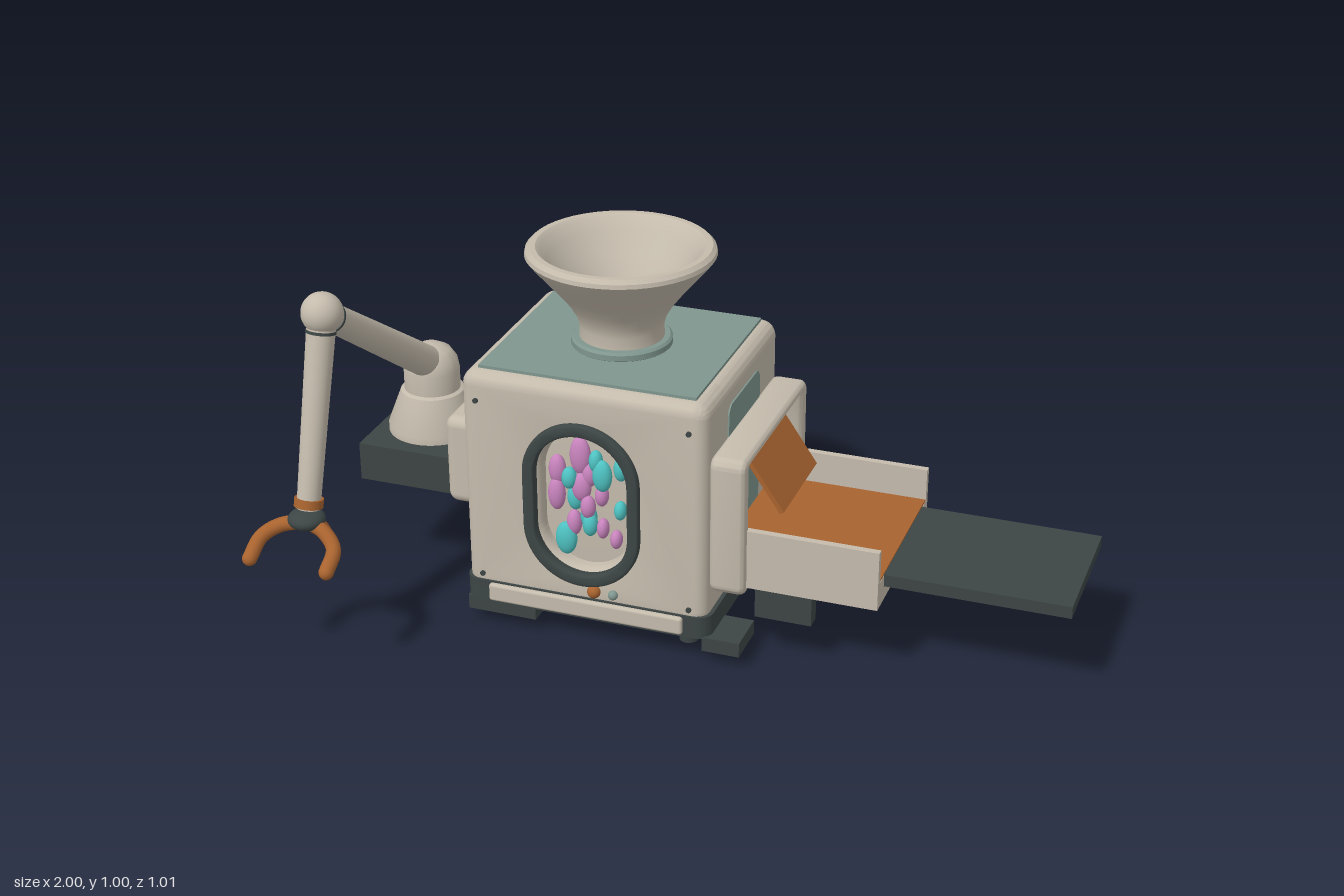
import * as THREE from 'three';
import { toCreasedNormals } from 'three/addons/utils/BufferGeometryUtils.js';
import { RoundedBoxGeometry } from 'three/addons/geometries/RoundedBoxGeometry.js';

const paint = (name, color) => {
  const m = new THREE.MeshStandardMaterial({ color });
  m.name = name;
  return m;
};

// Rounded rectangle between two corners
function roundRect(x0, y0, x1, y1, r, Type = THREE.Shape) {
  const s = new Type();
  s.moveTo(x0 + r, y0);
  s.lineTo(x1 - r, y0);
  s.absarc(x1 - r, y0 + r, r, -Math.PI / 2, 0);
  s.lineTo(x1, y1 - r);
  s.absarc(x1 - r, y1 - r, r, 0, Math.PI / 2);
  s.lineTo(x0 + r, y1);
  s.absarc(x0 + r, y1 - r, r, Math.PI / 2, Math.PI);
  s.lineTo(x0, y0 + r);
  s.absarc(x0 + r, y0 + r, r, Math.PI, Math.PI * 1.5);
  return s;
}

// Extrusion filling z0..z1, with bevels kept inside the outline
function slab(shape, z0, z1, bevel = 0) {
  const g = new THREE.ExtrudeGeometry(shape, {
    depth: z1 - z0 - 2 * bevel, bevelEnabled: bevel > 0, bevelSize: bevel,
    bevelThickness: bevel, bevelOffset: -bevel, bevelSegments: 5, curveSegments: 10,
  });
  g.translate(0, 0, z0 + bevel);
  return toCreasedNormals(g, 0.6);
}

export function createModel() {
  const root = new THREE.Group();
  root.name = 'sortingMachine';
  const shell = paint('warm grey shell', 0xc4bbac);
  const teal = paint('muted teal', 0x7f968e);
  const dark = paint('dark slate', 0x3d4545);
  const copper = paint('copper', 0xa8632f);
  const pink = paint('pink', 0xc884bd);
  const cyan = paint('cyan', 0x4fc2c2);

  const add = (name, geo, mat, pos = [0, 0, 0]) => {
    const m = new THREE.Mesh(geo, mat);
    m.name = name;
    m.position.set(...pos);
    root.add(m);
    return m;
  };
  const box = (name, mat, x0, x1, y0, y1, z0, z1) =>
    add(name, new THREE.BoxGeometry(x1 - x0, y1 - y0, z1 - z0), mat, [(x0 + x1) / 2, (y0 + y1) / 2, (z0 + z1) / 2]);
  const roundBox = (name, mat, x0, x1, y0, y1, z0, z1, r) =>
    add(name, new RoundedBoxGeometry(x1 - x0, y1 - y0, z1 - z0, 4, r), mat, [(x0 + x1) / 2, (y0 + y1) / 2, (z0 + z1) / 2]);
  const rod = (name, mat, a, b, ra, rb) => {
    const A = new THREE.Vector3(...a), B = new THREE.Vector3(...b), d = B.clone().sub(A);
    const m = add(name, new THREE.CylinderGeometry(rb, ra, d.length(), 28), mat);
    m.position.copy(A).add(B).multiplyScalar(0.5);
    m.quaternion.setFromUnitVectors(new THREE.Vector3(0, 1, 0), d.normalize());
    return m;
  };
  const lathe = (name, mat, pts, pos) =>
    add(name, toCreasedNormals(new THREE.LatheGeometry(pts.map((p) => new THREE.Vector2(...p)), 48), 0.5), mat, pos);

  // Cabinet: solid rear part and a front part with the window recess
  const outline = () => roundRect(-0.57, 0.1, 0.09, 0.725, 0.04);
  add('cabinetRear', slab(outline(), -0.5, 0.035, 0.035), shell);
  const front = outline();
  front.holes.push(roundRect(-0.36, 0.21, -0.125, 0.59, 0.117, THREE.Path));
  add('cabinetFront', slab(front, -0.1, 0.085, 0.035), shell);
  box('topPanel', teal, -0.53, 0.052, 0.715, 0.733, -0.465, 0.05);

  // Base, feet and foot pads
  const base = slab(roundRect(-0.577, -0.09, 0.1, 0.505, 0.04), 0.07, 0.132);
  base.rotateX(-Math.PI / 2);
  add('base', base, dark);
  roundBox('baseFrontPlate', shell, -0.505, 0.03, 0.078, 0.128, 0.08, 0.102, 0.008);
  for (const [z0, z1, fz] of [[-0.04, 0.085, -0.017], [-0.497, -0.375, -0.395]]) {
    box('footPad', dark, -0.57, -0.38, 0.035, 0.075, z0, z1);
    box('footPad', dark, 0.08, 0.18, 0.035, 0.075, z0, z1);
    for (const x of [-0.49, 0.01])
      add('foot', new THREE.CylinderGeometry(0.031, 0.025, 0.075, 24), dark, [x, 0.0375, fz]);
  }

  // Side panels
  for (const x of [-0.574, 0.086]) {
    const g = slab(roundRect(0.08, 0.134, 0.33, 0.655, 0.03), 0, 0.008);
    g.rotateY(Math.PI / 2);
    add('sidePanel', g, teal, [x, 0, 0]);
  }

  // Window ring and the ovoids behind it
  const ring = roundRect(-0.4, 0.17, -0.085, 0.63, 0.157);
  ring.holes.push(roundRect(-0.368, 0.203, -0.117, 0.597, 0.125, THREE.Path));
  add('windowRing', slab(ring, 0.07, 0.103, 0.008), dark);
  const pinks = [[-0.26, 0.52, 0.028, 0.053], [-0.32, 0.475, 0.023, 0.042], [-0.32, 0.41, 0.023, 0.046],
    [-0.28, 0.325, 0.02, 0.036], [-0.255, 0.435, 0.026, 0.04], [-0.235, 0.385, 0.02, 0.032],
    [-0.165, 0.295, 0.016, 0.026], [-0.2, 0.42, 0.018, 0.03], [-0.195, 0.33, 0.016, 0.028], [-0.235, 0.47, 0.02, 0.034]];
  const cyans = [[-0.3, 0.28, 0.029, 0.046], [-0.195, 0.48, 0.026, 0.044], [-0.15, 0.5, 0.019, 0.034],
    [-0.15, 0.385, 0.016, 0.026], [-0.23, 0.335, 0.02, 0.032], [-0.275, 0.4, 0.022, 0.036],
    [-0.215, 0.515, 0.018, 0.03], [-0.285, 0.46, 0.02, 0.03], [-0.24, 0.35, 0.022, 0.032]];
  [[pinks, pink, 'pinkOvoid'], [cyans, cyan, 'cyanOvoid']].forEach(([list, mat, name], k) => {
    list.forEach(([x, y, rx, ry], i) => {
      const m = add(name, new THREE.SphereGeometry(1, 20, 14), mat, [x, y, 0.045 + ((i + k) % 3) * 0.008]);
      m.scale.set(rx, ry, 0.02);
    });
  });

  // Front knobs and screws
  add('copperKnob', new THREE.SphereGeometry(0.018, 20, 14), copper, [-0.213, 0.155, 0.088]);
  add('tealKnob', new THREE.SphereGeometry(0.013, 20, 14), teal, [-0.16, 0.155, 0.09]);
  for (const x of [-0.525, 0.045]) for (const y of [0.15, 0.65]) for (const z of [-0.5, 0.085]) {
    const m = add('screw', new THREE.CylinderGeometry(0.007, 0.007, 0.012, 12), dark, [x, y, z]);
    m.rotation.x = Math.PI / 2;
  }

  // Hopper and collar
  lathe('hopperCollar', teal, [[0, 0.728], [0.125, 0.728], [0.131, 0.734], [0.131, 0.749], [0.125, 0.755], [0, 0.755]], [-0.24, 0, -0.207]);
  lathe('hopper', shell, [[0.11, 0.75], [0.109, 0.785], [0.115, 0.81], [0.135, 0.845], [0.166, 0.885], [0.205, 0.93],
    [0.235, 0.966], [0.245, 0.979], [0.243, 0.99], [0.233, 1], [0.217, 1], [0.207, 0.992], [0.187, 0.962],
    [0.15, 0.91], [0.115, 0.86], [0.092, 0.81], [0.09, 0.775], [0, 0.775]], [-0.24, 0, -0.207]);

  // Outlet frame, flap, tray and belt on the left side
  const rim = roundRect(-0.062, 0.193, 0.475, 0.578, 0.03);
  rim.holes.push(roundRect(-0.015, 0.22, 0.425, 0.548, 0.006, THREE.Path));
  const rimGeo = slab(rim, 0.088, 0.182, 0.018);
  rimGeo.rotateY(Math.PI / 2);
  add('outletFrame', rimGeo, shell);
  const flap = box('outletFlap', copper, -0.006, 0.006, -0.098, 0.098, -0.145, 0.145);
  flap.position.set(0.187, 0.47, -0.207);
  flap.rotation.z = Math.atan2(0.11, 0.16);
  box('trayFloor', shell, 0.1, 0.525, 0.215, 0.286, -0.435, 0.018);
  box('trayLiner', copper, 0.1, 0.524, 0.284, 0.292, -0.434, 0.017);
  box('trayWall', shell, 0.17, 0.525, 0.215, 0.378, 0.018, 0.037);
  box('trayWall', shell, 0.17, 0.525, 0.215, 0.378, -0.454, -0.435);
  box('belt', dark, 0.515, 1, 0.255, 0.288, -0.4, -0.02);
  box('trayBracket', dark, 0.2, 0.35, 0.125, 0.216, -0.022, 0.02);
  box('trayBracket', dark, 0.2, 0.35, 0.125, 0.216, -0.43, -0.387);

  // Arm mount and pedestal on the right side
  roundBox('armMount', shell, -0.677, -0.56, 0.272, 0.522, -0.392, 0.036 - 0.07, 0.028);
  box('armPlatform', dark, -0.935, -0.665, 0.29, 0.395, -0.37, -0.05);
  lathe('armPedestal', shell, [[0, 0.39], [0.122, 0.39], [0.122, 0.415], [0.085, 0.51], [0.075, 0.515],
    [0.075, 0.57], [0.07, 0.597], [0.053, 0.623], [0.028, 0.637], [0, 0.641]], [-0.79, 0, -0.215]);

  // Jointed arm
  const shoulder = [-0.785, 0.578, -0.215], elbow = [-0.843, 0.917, 0.264], wrist = [-0.86, 0.43, 0.379];
  const along = (a, b, t) => a.map((v, i) => v + (b[i] - v) * t);
  rod('upperArm', shell, shoulder, elbow, 0.044, 0.036);
  add('elbow', new THREE.SphereGeometry(0.053, 32, 20), shell, elbow);
  rod('forearm', shell, elbow, wrist, 0.037, 0.03);
  rod('elbowBand', dark, along(shoulder, elbow, 0.915), along(shoulder, elbow, 0.925), 0.039, 0.039);
  rod('elbowBand', dark, along(elbow, wrist, 0.085), along(elbow, wrist, 0.1), 0.038, 0.038);
  rod('wristBand', copper, along(elbow, wrist, 0.945), along(elbow, wrist, 0.99), 0.037, 0.037);
  const cuff = add('wristCuff', new THREE.SphereGeometry(0.048, 28, 16), dark, [-0.862, 0.405, 0.388]);
  cuff.scale.y = 0.55;

  // Gripper fingers
  const fingers = [
    [[-0.875, 0.395, 0.39], [-0.93, 0.383, 0.405], [-0.972, 0.355, 0.43], [-0.978, 0.32, 0.485]],
    [[-0.85, 0.395, 0.39], [-0.805, 0.383, 0.405], [-0.77, 0.355, 0.43], [-0.765, 0.32, 0.485]],
    [[-0.862, 0.395, 0.385], [-0.861, 0.37, 0.357], [-0.86, 0.35, 0.325], [-0.86, 0.316, 0.302]],
  ];
  for (const pts of fingers) {
    const path = new THREE.CatmullRomCurve3(pts.map((p) => new THREE.Vector3(...p)));
    add('finger', new THREE.TubeGeometry(path, 20, 0.019, 14), copper);
    add('fingertip', new THREE.SphereGeometry(0.019, 16, 12), copper, pts[3]);
  }
  return root;
}
